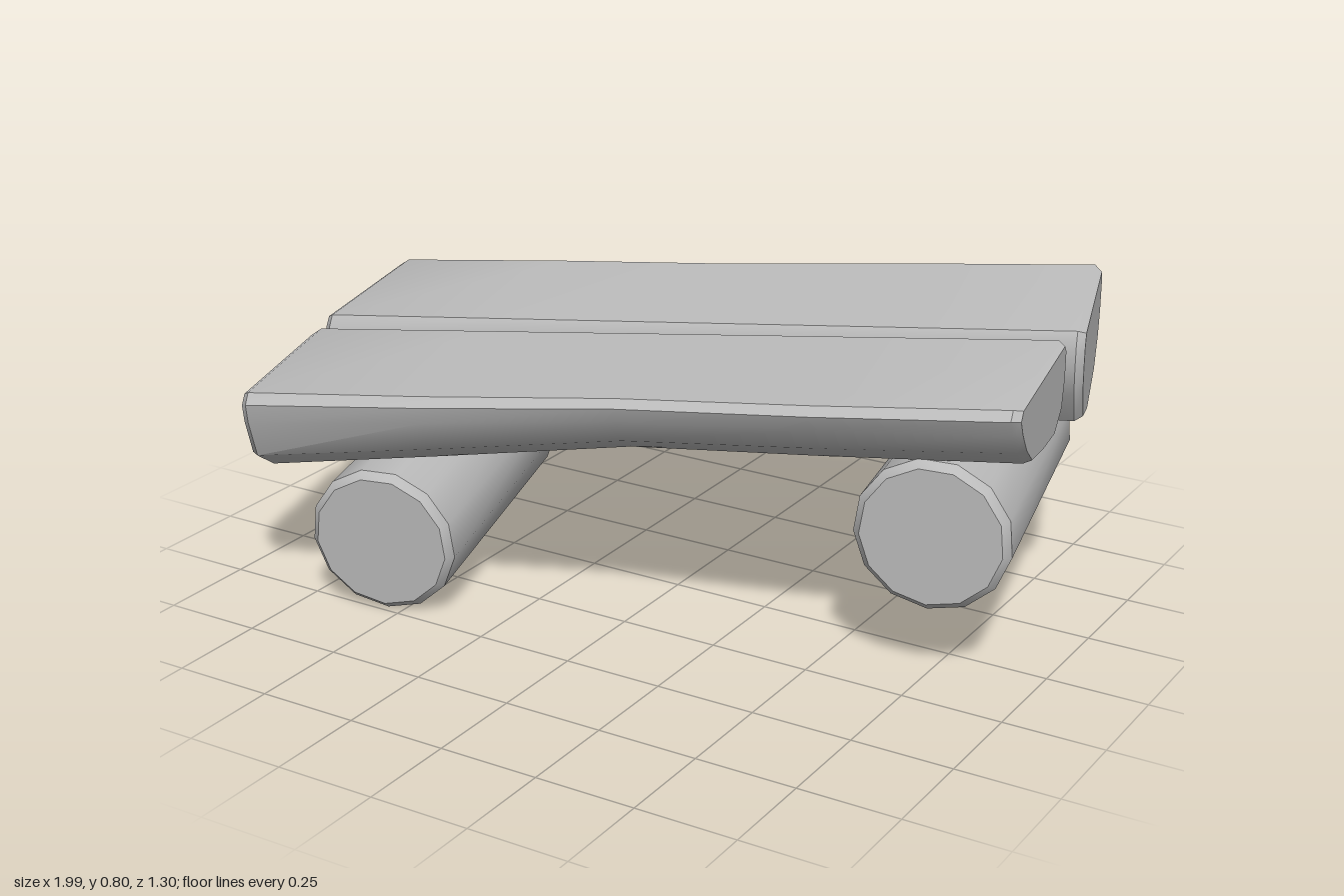
import * as THREE from 'three';
import { toCreasedNormals } from 'three/addons/utils/BufferGeometryUtils.js';

const wood = new THREE.MeshStandardMaterial({ color: 0xbcbcbc });
wood.name = 'plain grey';
const V = (x, y, z) => new THREE.Vector3(x, y, z);
const lerp = THREE.MathUtils.lerp;

// Half-log plank: lofted between two end profiles of [across 0..1, depth 0..1]
function plank(name, { left, right, depth, profiles, bend }) {
  const pos = [];
  const index = [];
  // stations along the plank; the first and last are pulled in for a soft end edge
  const stations = [[0, 0.92], [0.01, 1], [0.25, 1], [0.5, 1], [0.75, 1], [0.99, 1], [1, 0.92]];
  const n = profiles[0].length;
  for (const [t, scale] of stations) {
    const front = left[0].clone().lerp(right[0], t);
    const back = left[1].clone().lerp(right[1], t);
    const mid = Math.max(0, 1 - Math.abs(t - 0.5) * 4);
    front.z += bend[0] * mid;
    back.z += bend[1] * mid;
    const d = t < 0.5 ? lerp(depth[0], depth[1], t * 2) : lerp(depth[1], depth[2], t * 2 - 1);
    for (let j = 0; j < n; j++) {
      const u = lerp(profiles[0][j][0], profiles[1][j][0], t);
      const v = lerp(profiles[0][j][1], profiles[1][j][1], t);
      const p = front.clone().lerp(back, 0.5 + (u - 0.5) * scale);
      p.y -= d * (0.5 + (v - 0.5) * scale);
      pos.push(p.x, p.y, p.z);
    }
  }
  const last = (stations.length - 1) * n;
  for (let i = 0; i < last; i += n) {
    for (let j = 0; j < n; j++) {
      const k = (j + 1) % n;
      index.push(i + j, i + k, i + n + j, i + k, i + n + k, i + n + j);
    }
  }
  for (let j = 1; j < n - 1; j++) {
    index.push(0, j + 1, j, last, last + j, last + j + 1);
  }
  const geo = new THREE.BufferGeometry();
  geo.setAttribute('position', new THREE.Float32BufferAttribute(pos, 3));
  geo.setIndex(index);
  const mesh = new THREE.Mesh(toCreasedNormals(geo, 0.62), wood);
  mesh.name = name;
  return mesh;
}

// Round log with bevelled rims, running from point a to point b
function log(name, a, b, ra, rb) {
  const len = a.distanceTo(b);
  const e = 0.018;
  const profile = [[0, 0], [ra - e, 0], [ra, e], [rb, len - e], [rb - e, len], [0, len]];
  const geo = new THREE.LatheGeometry(profile.map(([r, y]) => new THREE.Vector2(r, y)), 13);
  const mesh = new THREE.Mesh(toCreasedNormals(geo, 0.62), wood);
  mesh.position.copy(a);
  mesh.quaternion.setFromUnitVectors(V(0, 1, 0), b.clone().sub(a).normalize());
  mesh.name = name;
  return mesh;
}

// Closed profile: rounded underside plus the bevelled flat top
const section = (under) => [[0, 0.1], ...under, [1, 0.1], [0.96, 0], [0.04, 0]];

export function createModel() {
  const group = new THREE.Group();
  group.name = 'logBench';

  group.add(plank('frontSeatPlank', {
    left: [V(-0.83, 0.56, 0.655), V(-0.945, 0.585, 0.21)],
    right: [V(1.0, 0.74, 0.24), V(0.92, 0.765, -0.21)],
    depth: [0.25, 0.185, 0.205],
    bend: [-0.02, 0],
    profiles: [
      section([[0.02, 0.3], [0.1, 0.7], [0.28, 0.93], [0.55, 1], [0.8, 0.95], [0.95, 0.7], [1, 0.4]]),
      section([[0.05, 0.3], [0.16, 0.6], [0.3, 0.85], [0.55, 0.95], [0.82, 1], [0.96, 0.8], [1, 0.45]]),
    ],
  }));

  group.add(plank('backSeatPlank', {
    left: [V(-0.95, 0.6, 0.185), V(-1.0, 0.64, -0.235)],
    right: [V(0.95, 0.77, -0.235), V(0.82, 0.81, -0.655)],
    depth: [0.265, 0.25, 0.28],
    bend: [0, 0.018],
    profiles: [
      section([[0, 0.45], [0.05, 0.7], [0.2, 0.93], [0.45, 1], [0.78, 0.92], [0.93, 0.7], [1, 0.4]]),
      section([[0, 0.3], [0.03, 0.55], [0.16, 0.88], [0.44, 1], [0.8, 0.86], [0.95, 0.62], [1, 0.4]]),
    ],
  }));

  // Supporting logs
  group.add(log('rightSupportLog', V(-0.535, 0.19, 0.51), V(-0.715, 0.245, -0.24), 0.187, 0.178));
  group.add(log('leftSupportLog', V(0.77, 0.372, 0.17), V(0.62, 0.39, -0.565), 0.187, 0.172));
  return group;
}
